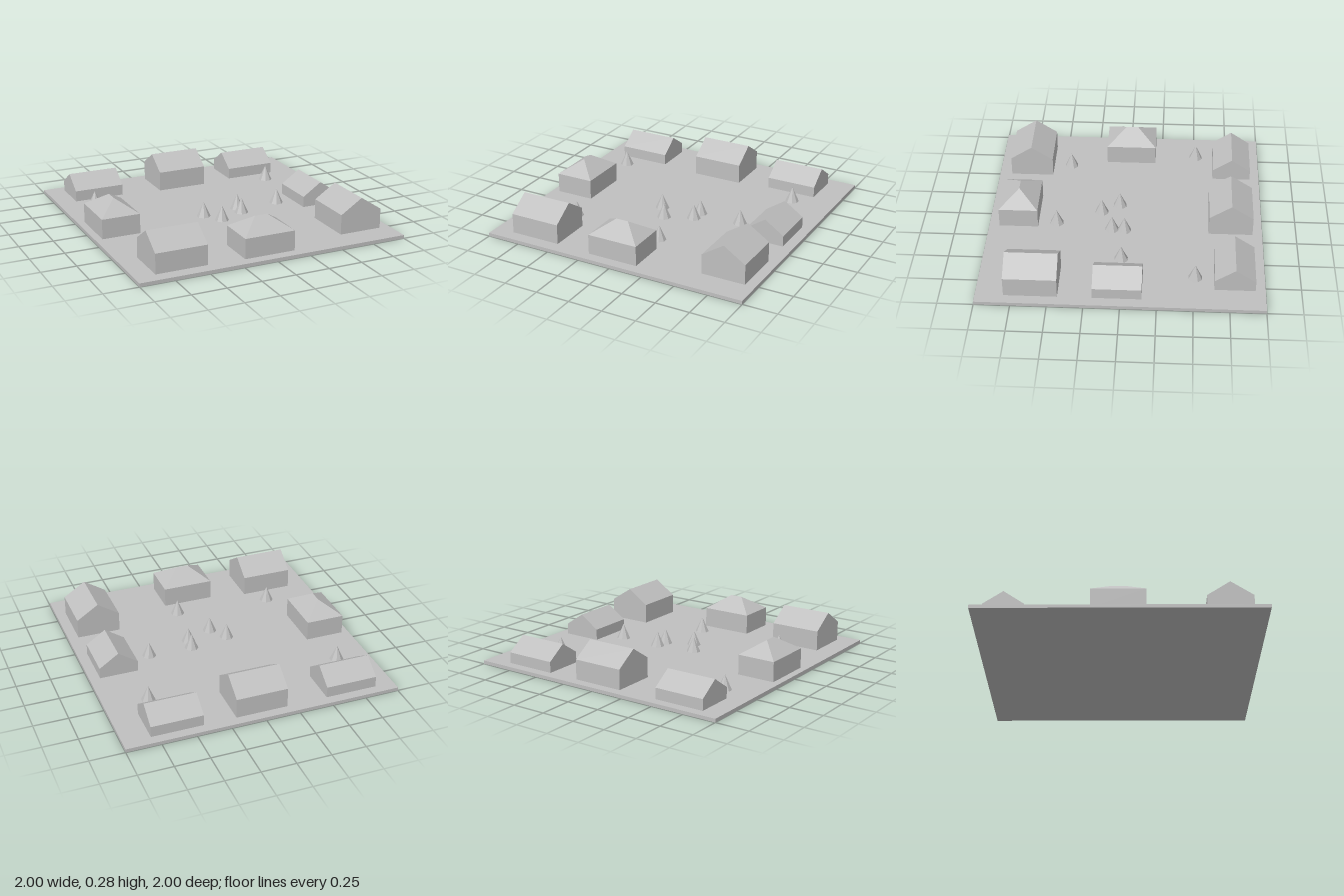
import * as THREE from 'three';

const GROUND = 0.025;
const material = new THREE.MeshStandardMaterial({ color: 0xbfbfbf });
material.name = 'plain grey';

// Faceted normals for hard-edged low-poly parts
function faceted(geometry) {
  const g = geometry.index ? geometry.toNonIndexed() : geometry;
  g.computeVertexNormals();
  return g;
}

// Walls and roof in one shell: ridge along x, its ends drawn in by hip (0 = gable)
function houseGeometry(length, width, eave, ridge, hip) {
  const l = length / 2, w = width / 2;
  const corners = [[-l, w], [l, w], [l, -w], [-l, -w]];
  const points = [];
  for (const y of [0, eave]) for (const [x, z] of corners) points.push(x, y, z);
  points.push(-l + hip, ridge, 0, l - hip, ridge, 0);
  const index = [];
  const quad = (a, b, c, d) => index.push(a, b, c, a, c, d);
  for (let i = 0; i < 4; i++) {
    const j = (i + 1) % 4;
    quad(i, j, j + 4, i + 4); // wall
  }
  quad(4, 5, 9, 8); // roof slopes
  quad(6, 7, 8, 9);
  index.push(5, 6, 9, 7, 4, 8); // gables or hips
  const g = new THREE.BufferGeometry();
  g.setAttribute('position', new THREE.Float32BufferAttribute(points, 3));
  g.setIndex(index);
  return faceted(g);
}

// Eave height, ridge height and hip inset above the ground
const low = [0.08, 0.176, 0];
const tall = [0.145, 0.25, 0];
const hipped = [0.145, 0.241, 0.142];

// name, x0, x1, z0, z1, ridge axis, type
const houses = [
  ['backLeftHouse', -0.857, -0.481, -0.93, -0.647, 'x', low],
  ['backMiddleHouse', -0.183, 0.193, -0.93, -0.611, 'x', tall],
  ['backRightHouse', 0.428, 0.803, -0.93, -0.647, 'x', low],
  ['leftSideHouse', -0.948, -0.664, -0.2, 0.176, 'z', hipped],
  ['frontLeftHouse', -0.852, -0.476, 0.588, 0.908, 'x', tall],
  ['frontMiddleHouse', -0.209, 0.167, 0.64, 0.924, 'x', hipped],
  ['rightSideHouse', 0.641, 0.924, -0.147, 0.193, 'z', low],
  ['frontRightHouse', 0.603, 0.924, 0.432, 0.803, 'z', tall],
];

const trees = [
  [-0.754, -0.513], [0.684, -0.513], [-0.115, 0.051],
  [0.179, 0.005], [0.171, 0.096], [-0.029, 0.182],
  [0.505, 0.013], [-0.607, 0.453], [0.113, 0.505],
];

export function createModel() {
  const village = new THREE.Group();
  village.name = 'village';

  // Ground slab
  const ground = new THREE.Mesh(new THREE.BoxGeometry(2, GROUND, 2), material);
  ground.name = 'ground';
  ground.position.y = GROUND / 2;
  village.add(ground);

  // Houses around the green
  for (const [name, x0, x1, z0, z1, axis, type] of houses) {
    const dx = x1 - x0, dz = z1 - z0;
    const alongX = axis === 'x';
    const house = new THREE.Mesh(
      houseGeometry(alongX ? dx : dz, alongX ? dz : dx, ...type), material);
    house.name = name;
    house.position.set((x0 + x1) / 2, GROUND, (z0 + z1) / 2);
    if (!alongX) house.rotation.y = Math.PI / 2;
    village.add(house);
  }

  // Eight-sided cone trees
  const height = 0.112;
  const cone = faceted(new THREE.ConeGeometry(0.051, height, 8, 1, false, Math.PI / 8));
  trees.forEach(([x, z], i) => {
    const tree = new THREE.Mesh(cone, material);
    tree.name = `tree${i + 1}`;
    tree.position.set(x, GROUND + height / 2, z);
    village.add(tree);
  });

  return village;
}
